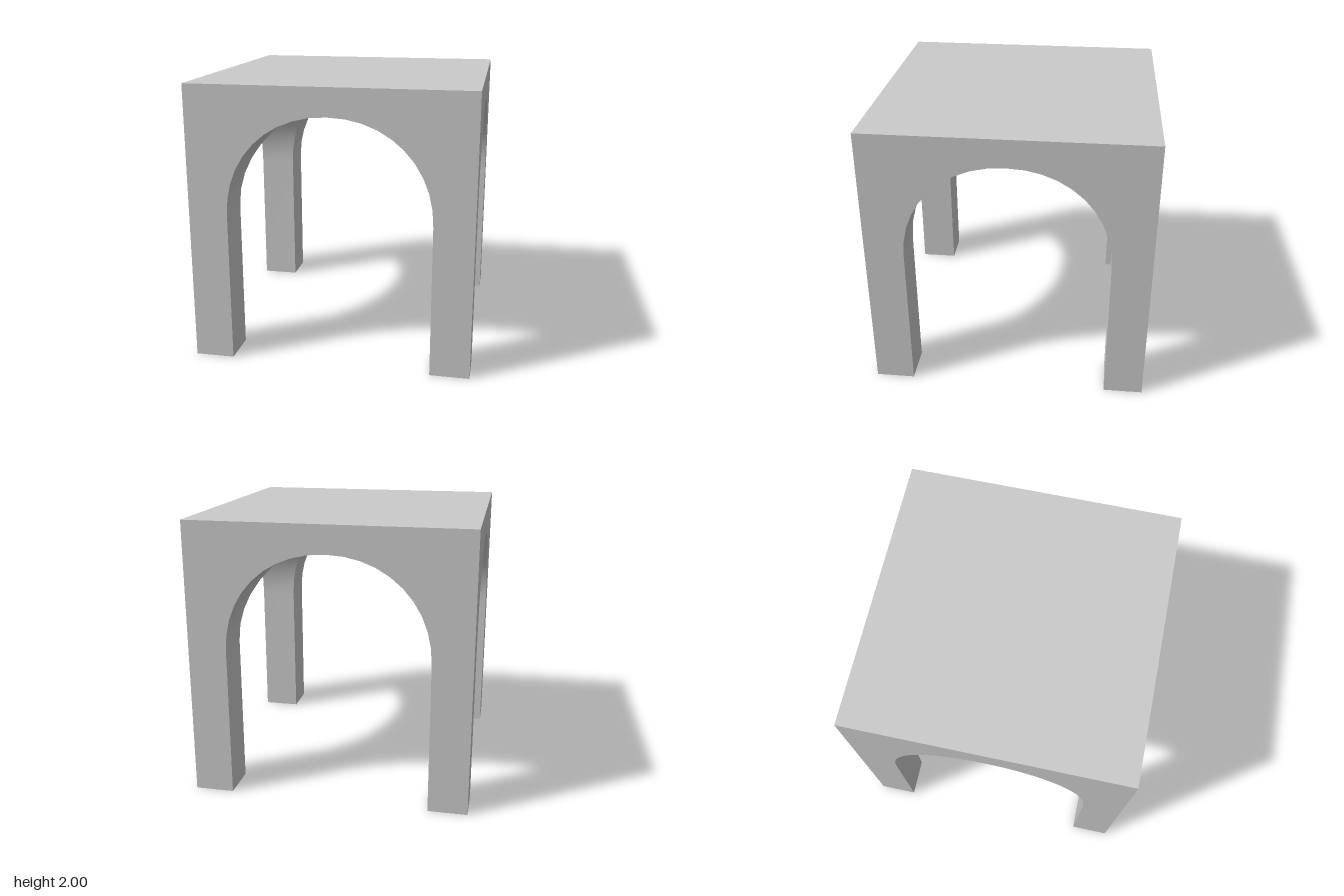
import * as THREE from 'three';

const HALF = 1, HEIGHT = 2;                 // outer block
const SPAN = 0.72, SPRING = 1.08, RISE = 0.72; // arch half width, spring line, rise
const STEPS = 20, POWER = 2.1;              // slightly squared arch curve

// Opening outline from the foot at +x, over the crown, to the foot at -x
function archProfile() {
  const pts = [new THREE.Vector2(SPAN, 0)];
  for (let i = 0; i <= STEPS; i++) {
    const a = (i / STEPS) * Math.PI;
    const c = Math.cos(a), s = Math.max(0, Math.sin(a));
    pts.push(new THREE.Vector2(
      SPAN * Math.sign(c) * Math.abs(c) ** (2 / POWER),
      SPRING + RISE * s ** (2 / POWER)));
  }
  pts.push(new THREE.Vector2(-SPAN, 0));
  return pts;
}

// Flat outer wall with the arch cut out of it
function wallGeometry(profile) {
  const shape = new THREE.Shape([
    new THREE.Vector2(-HALF, 0), new THREE.Vector2(-SPAN, 0),
    ...profile.slice(1, -1).reverse(),
    new THREE.Vector2(SPAN, 0), new THREE.Vector2(HALF, 0),
    new THREE.Vector2(HALF, HEIGHT), new THREE.Vector2(-HALF, HEIGHT),
  ]);
  return new THREE.ShapeGeometry(shape).translate(0, 0, HALF);
}

// Barrel surface running from the wall in to the diagonal groins
function vaultGeometry(profile) {
  const pos = [], index = [];
  profile.forEach((p, i) => {
    pos.push(p.x, p.y, HALF, p.x, p.y, Math.abs(p.x));
    if (i < profile.length - 1) {
      const o = 2 * i;
      index.push(o, o + 2, o + 1, o + 2, o + 3, o + 1);
    }
  });
  const geo = new THREE.BufferGeometry();
  geo.setAttribute('position', new THREE.Float32BufferAttribute(pos, 3));
  geo.setIndex(index);
  geo.computeVertexNormals();
  return geo;
}

export function createModel() {
  const model = new THREE.Group();
  model.name = 'vaultedTable';
  const material = new THREE.MeshStandardMaterial({ color: 0xcccccc });
  const add = (parent, name, geometry) => {
    const mesh = new THREE.Mesh(geometry, material);
    mesh.name = name;
    parent.add(mesh);
    return mesh;
  };

  const profile = archProfile();
  const wall = wallGeometry(profile);
  const vault = vaultGeometry(profile);

  // Square underside of one leg
  const legWidth = HALF - SPAN, legCentre = (HALF + SPAN) / 2;
  const foot = new THREE.PlaneGeometry(legWidth, legWidth)
    .rotateX(Math.PI / 2).translate(legCentre, 0, legCentre);

  // Four identical sides, each with its arch, quarter of the vault and a foot
  ['front', 'left', 'back', 'right'].forEach((name, i) => {
    const side = new THREE.Group();
    side.name = name + 'Side';
    side.rotation.y = i * Math.PI / 2;
    add(side, name + 'ArchWall', wall);
    add(side, name + 'Vault', vault);
    add(side, name + 'LegFoot', foot);
    model.add(side);
  });

  // Flat top
  add(model, 'tableTop', new THREE.PlaneGeometry(2 * HALF, 2 * HALF)
    .rotateX(-Math.PI / 2).translate(0, HEIGHT, 0));

  return model;
}
